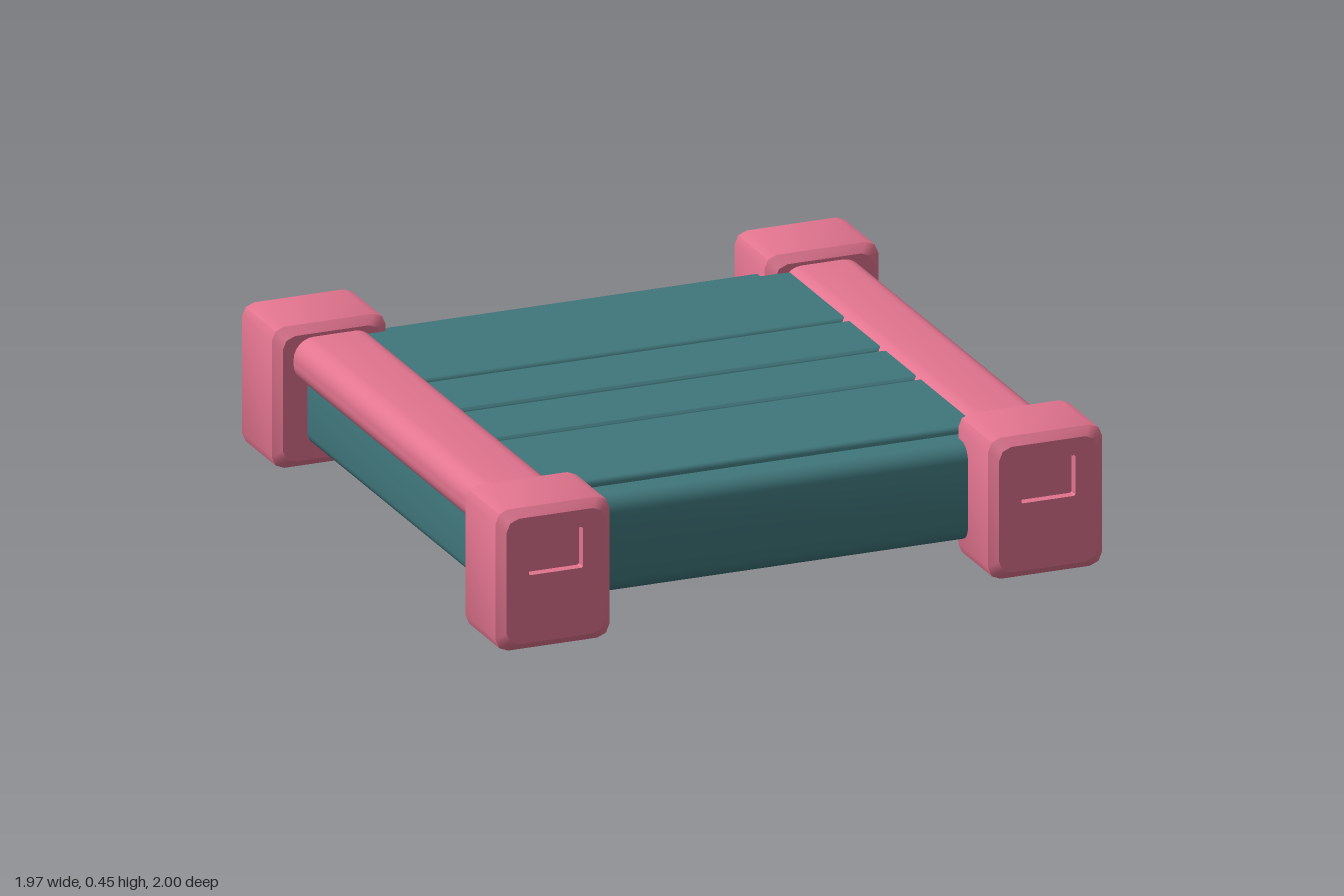
import * as THREE from 'three';
import { mergeGeometries, toCreasedNormals } from 'three/addons/utils/BufferGeometryUtils.js';

// Counter-clockwise rounded rectangle centred on (cx, cy)
function roundRect(w, h, r, n, cx = 0, cy = 0) {
  const pts = [];
  [[1, 1], [-1, 1], [-1, -1], [1, -1]].forEach(([sx, sy], q) => {
    for (let i = 0; i <= n; i++) {
      const a = (q + i / n) * Math.PI / 2;
      pts.push(new THREE.Vector2(
        cx + sx * (w / 2 - r) + r * Math.cos(a),
        cy + sy * (h / 2 - r) + r * Math.sin(a)));
    }
  });
  return pts;
}

// Skin through cross-sections [z, points]
function loft(sections) {
  const pos = [];
  for (let k = 0; k + 1 < sections.length; k++) {
    const [z0, p] = sections[k], [z1, q] = sections[k + 1];
    for (let i = 0; i < p.length; i++) {
      const j = (i + 1) % p.length;
      pos.push(p[i].x, p[i].y, z0, p[j].x, p[j].y, z0, q[j].x, q[j].y, z1);
      pos.push(p[i].x, p[i].y, z0, q[j].x, q[j].y, z1, q[i].x, q[i].y, z1);
    }
  }
  const g = new THREE.BufferGeometry();
  g.setAttribute('position', new THREE.Float32BufferAttribute(pos, 3));
  return g;
}

// Flat end face, optionally with a hole
function cap(points, z, hole) {
  const shape = new THREE.Shape(points);
  if (hole) shape.holes.push(new THREE.Path(hole));
  const g = new THREE.ShapeGeometry(shape).toNonIndexed();
  g.deleteAttribute('uv');
  g.deleteAttribute('normal');
  return g.translate(0, 0, z);
}

// Bar along z with rounded long edges and bevelled ends; hole makes a recess in the +z end
function bar(w, h, len, r, n, bevel, hole, depth = 0.03) {
  const full = roundRect(w, h, r, n);
  const end = roundRect(w - 2 * bevel, h - 2 * bevel, r, n);
  const z = len / 2;
  const parts = [
    loft([[-z, end], [-z + bevel, full], [z - bevel, full], [z, end]]),
    cap(end, z, hole),
    cap(end, z).rotateY(Math.PI),
  ];
  if (hole) parts.push(loft([[z, hole], [z - depth, hole]]), cap(hole, z - depth));
  return toCreasedNormals(mergeGeometries(parts), 0.6);
}

export function createModel() {
  const model = new THREE.Group();
  model.name = 'slattedPlatform';
  const pink = new THREE.MeshStandardMaterial({ name: 'pink', color: 0xe2748f });
  const teal = new THREE.MeshStandardMaterial({ name: 'teal', color: 0x40777c });

  const add = (name, geometry, material, x, y, z, turn = 0) => {
    const mesh = new THREE.Mesh(geometry, material);
    mesh.name = name;
    mesh.position.set(x, y, z);
    mesh.rotation.y = turn;
    model.add(mesh);
  };

  // Corner blocks with a square recess in the outward end
  const recess = roundRect(0.175, 0.13, 0.004, 1, 0, 0.08);
  const block = bar(0.37, 0.45, 0.28, 0.04, 2, 0.025, recess);
  // Rounded top rails and the beams below them
  const rail = bar(0.265, 0.145, 1.5, 0.065, 6, 0.01);
  const sideBeam = bar(0.215, 0.24, 1.5, 0.04, 5, 0.01);
  for (const [side, s] of [['left', 1], ['right', -1]]) {
    for (const [end, e] of [['Front', 1], ['Back', -1]]) {
      add(side + end + 'Corner', block, pink, s * 0.8, 0.225, e * 0.86, e > 0 ? 0 : Math.PI);
    }
    add(side + 'Rail', rail, pink, s * 0.7925, 0.342, 0);
    add(side + 'Beam', sideBeam, teal, s * 0.7725, 0.19, 0);
  }

  // End beams
  const endBeam = bar(0.17, 0.31, 1.5, 0.05, 5, 0.01);
  add('frontBeam', endBeam, teal, 0, 0.222, 0.735, Math.PI / 2);
  add('backBeam', endBeam, teal, 0, 0.222, -0.755, Math.PI / 2);

  // Deck slats with narrow gaps
  [[-0.73, -0.285], [-0.27, -0.008], [0.008, 0.267], [0.28, 0.715]].forEach(([a, b], i) => {
    add('slat' + (i + 1), bar(b - a, 0.14, 1.46, 0.015, 3, 0.005), teal, 0, 0.33, (a + b) / 2, Math.PI / 2);
  });

  return model;
}
